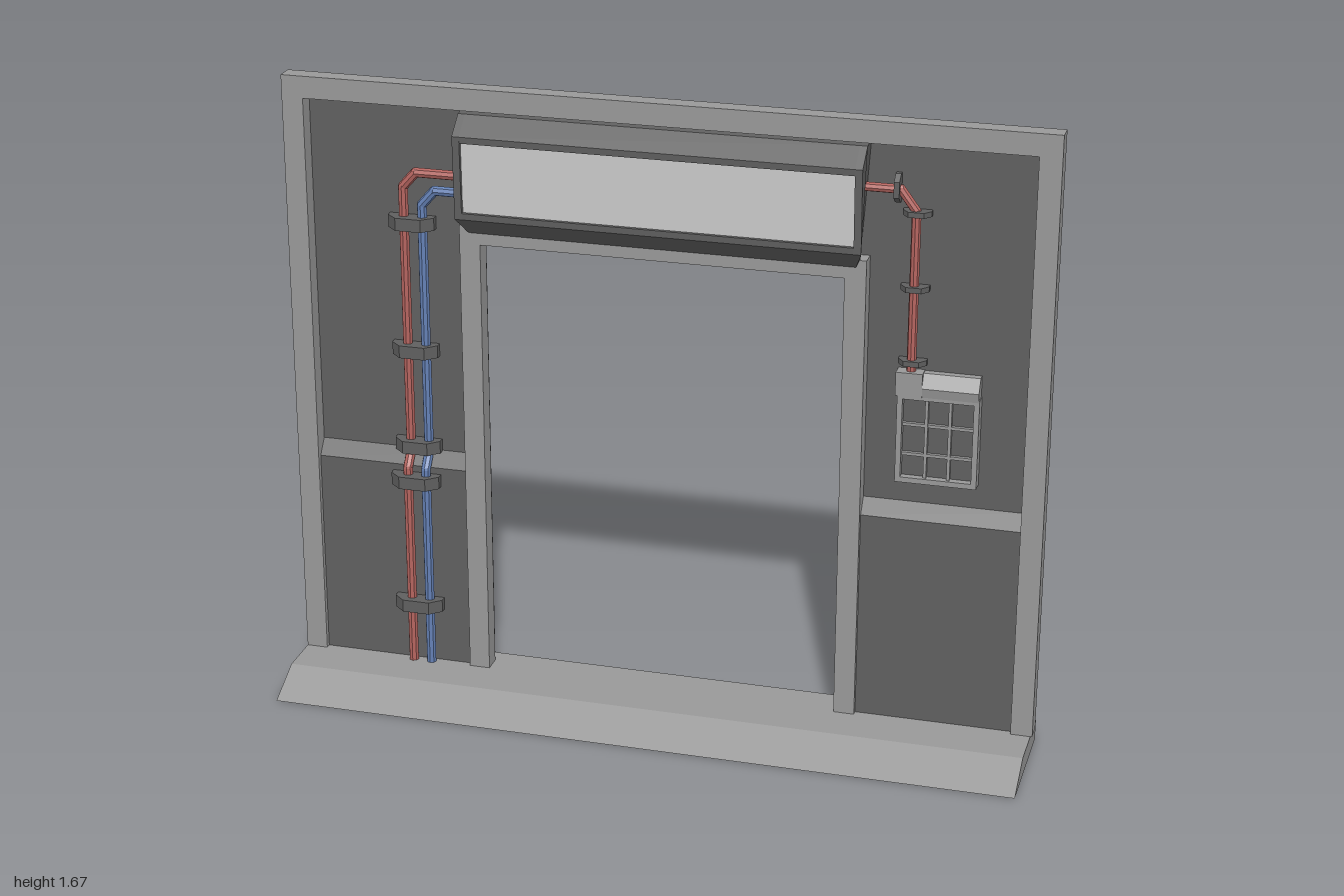
import * as THREE from 'three';

const mat = (color) => new THREE.MeshStandardMaterial({ color, flatShading: true });
const BASE = 0.055, UPPER = -0.115, LOWER = -0.085; // base top, panel depths

export function createModel() {
  const model = new THREE.Group();
  const light = mat(0x999999), dark = mat(0x606060), pale = mat(0xcccccc);
  const red = mat(0xb4645f), blue = mat(0x6480b4);

  const add = (name, geometry, material, parent = model) => {
    const mesh = new THREE.Mesh(geometry, material);
    mesh.name = name;
    parent.add(mesh);
    return mesh;
  };
  const group = (name) => {
    const g = new THREE.Group();
    g.name = name;
    model.add(g);
    return g;
  };
  const toShape = (pts) => new THREE.Shape(pts.map(([x, y]) => new THREE.Vector2(x, y)));
  const extrude = (pts, depth) =>
    new THREE.ExtrudeGeometry(toShape(pts), { depth, bevelEnabled: false });

  // box from its limits
  const box = (x0, x1, y0, y1, z0, z1) =>
    new THREE.BoxGeometry(x1 - x0, y1 - y0, z1 - z0)
      .translate((x0 + x1) / 2, (y0 + y1) / 2, (z0 + z1) / 2);
  // [z, y] profile swept along x
  const sweepX = (profile, x0, x1) =>
    extrude(profile.map(([z, y]) => [-z, y]), x1 - x0).rotateY(Math.PI / 2).translate(x0, 0, 0);
  // upside-down U standing on the base
  const portal = (xo, top, xi, topIn, z0, z1) => extrude([
    [-xo, BASE], [-xi, BASE], [-xi, topIn], [xi, topIn],
    [xi, BASE], [xo, BASE], [xo, top], [-xo, top],
  ], z1 - z0).translate(0, 0, z0);

  // base with front ramp
  add('baseRamp', sweepX([[-0.165, 0], [0.165, 0], [0.05, BASE], [-0.165, BASE]], -1, 0.995), light);

  // wall and frames
  add('wall', portal(0.987, 1.62, 0.49, 1.275, -0.165, UPPER), dark);
  add('outerFrame', portal(1, 1.67, 0.943, 1.612, -0.12, -0.07), light);
  add('doorFrame', portal(0.53, 1.31, 0.475, 1.26, -0.12, -0.07), light);

  // thicker lower panels beside the door
  for (const [name, x0, x1] of [['lowerPanelRight', -0.95, -0.52], ['lowerPanelLeft', 0.52, 0.95]]) {
    add(name, sweepX([[-0.12, BASE], [LOWER, BASE], [LOWER, 0.62], [UPPER, 0.66], [-0.12, 0.66]], x0, x1), dark);
  }

  // overhead sign: recessed middle, solid ends, underside tapering inward
  const sign = group('overheadSign');
  const taper = (geo) => {
    const p = geo.attributes.position;
    for (let i = 0; i < p.count; i++) if (p.getY(i) < 1.3) p.setX(i, p.getX(i) * 0.96);
    geo.computeVertexNormals();
    return geo;
  };
  const rear = [[-0.023, 1.34], [-0.068, 1.292], [-0.115, 1.292], [-0.115, 1.61], [-0.068, 1.605], [-0.015, 1.56]];
  const recess = [[-0.016, 1.543], [-0.035, 1.543], [-0.04, 1.357], [-0.022, 1.357]];
  add('signHousing', taper(sweepX([...rear, ...recess], -0.506, 0.506)), dark, sign);
  add('signEndRight', taper(sweepX(rear, -0.525, -0.506)), dark, sign);
  add('signEndLeft', taper(sweepX(rear, 0.506, 0.525)), dark, sign);
  add('signScreen', sweepX([[-0.042, 1.357], [-0.032, 1.357], [-0.027, 1.543], [-0.042, 1.543]], -0.506, 0.506), pale, sign);

  // pipe made of straight runs with rounded joints
  const pipe = (name, points, material, r = 0.013) => {
    const g = group(name);
    const pts = points.map((p) => new THREE.Vector3(...p));
    for (let i = 0; i < pts.length - 1; i++) {
      const dir = pts[i + 1].clone().sub(pts[i]);
      const run = add('pipeRun', new THREE.CylinderGeometry(r, r, dir.length(), 8), material, g);
      run.position.copy(pts[i]).addScaledVector(dir, 0.5);
      run.quaternion.setFromUnitVectors(new THREE.Vector3(0, 1, 0), dir.normalize());
      if (i > 0) add('pipeJoint', new THREE.SphereGeometry(r, 8, 6), material, g).position.copy(pts[i]);
    }
  };
  const zu = UPPER + 0.015, zl = LOWER + 0.015;
  const riser = (x, top) => [
    [x, 0.03, zl], [x, 0.62, zl], [x, 0.66, zu],
    [x, top - 0.04, zu], [x + 0.035, top, zu], [-0.51, top, zu],
  ];
  pipe('redPipe', riser(-0.69, 1.43), red);
  pipe('bluePipe', riser(-0.64, 1.385), blue);
  pipe('redCable', [[0.51, 1.493, zu], [0.605, 1.493, zu], [0.645, 1.44, zu], [0.645, 1.0, zu]], red, 0.012);

  // clamps: chamfered straps standing off the panel
  const clamp = (parent, w, d, h) => add('clamp', extrude([
    [-w, 0], [w, 0], [w, d * 0.4], [w * 0.55, d], [-w * 0.55, d], [-w, d * 0.4],
  ], h).rotateX(Math.PI / 2).translate(0, h / 2, 0), dark, parent);
  const clamps = group('pipeClamps');
  for (const y of [1.295, 0.945, 0.675, 0.585, 0.225]) {
    clamp(clamps, y < 0.62 ? 0.066 : 0.062, 0.045, 0.034)
      .position.set(-0.67, y, y < 0.62 ? LOWER : UPPER);
  }
  for (const y of [1.435, 1.24, 1.045]) {
    clamp(clamps, 0.036, 0.035, 0.014).position.set(0.647, y, UPPER);
  }
  const upright = clamp(clamps, 0.037, 0.035, 0.014);
  upright.position.set(0.597, 1.495, UPPER);
  upright.rotation.z = Math.PI / 2;

  // control box with hooded top and grille
  const control = group('controlBox');
  add('boxBack', box(0.615, 0.822, 0.725, 0.965, -0.118, -0.1), dark, control);
  add('boxSocket', box(0.61, 0.678, 0.96, 1.022, -0.118, -0.078), light, control);
  add('boxHood', sweepX([[-0.118, 0.96], [-0.08, 0.96], [-0.075, 0.985], [-0.095, 1.02], [-0.118, 1.02]], 0.678, 0.822), light, control);
  for (const x of [0.615, 0.81]) add('grilleSide', box(x, x + 0.014, 0.725, 0.965, -0.118, -0.08), light, control);
  for (const y of [0.725, 0.951]) add('grilleRail', box(0.615, 0.824, y, y + 0.014, -0.118, -0.08), light, control);
  for (const x of [0.69, 0.75]) add('grilleBarUpright', box(x - 0.004, x + 0.004, 0.735, 0.955, -0.102, -0.088), light, control);
  for (const y of [0.8, 0.88]) add('grilleBarCross', box(0.625, 0.815, y - 0.004, y + 0.004, -0.102, -0.09), light, control);

  return model;
}
